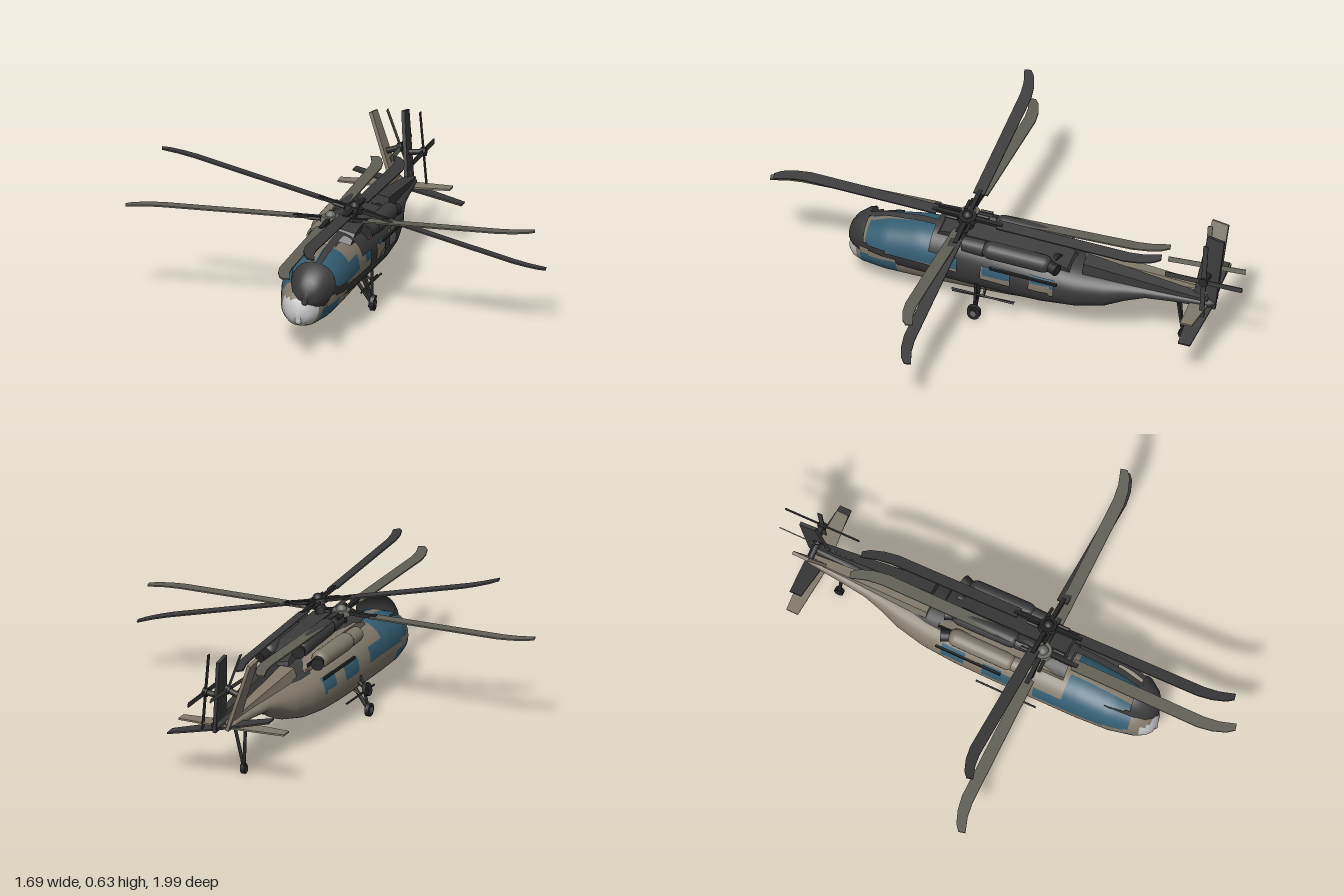
import * as THREE from 'three';

const mat = (name, color, side = THREE.FrontSide) => {
  const m = new THREE.MeshStandardMaterial({ color, side });
  m.name = name;
  return m;
};

// hull stations: z, half width, bottom, top
const STATIONS = [
  [0.668, 0.002, 0.14, 0.143], [0.66, 0.038, 0.11, 0.185], [0.64, 0.062, 0.09, 0.22],
  [0.6, 0.085, 0.078, 0.254], [0.5, 0.111, 0.07, 0.292], [0.36, 0.121, 0.068, 0.314],
  [0.2, 0.122, 0.068, 0.314], [0, 0.122, 0.07, 0.3], [-0.16, 0.121, 0.08, 0.285],
  [-0.3, 0.113, 0.1, 0.276], [-0.42, 0.092, 0.132, 0.272], [-0.5, 0.068, 0.176, 0.27],
  [-0.58, 0.05, 0.212, 0.268], [-0.7, 0.036, 0.222, 0.266], [-0.84, 0.022, 0.228, 0.262],
  [-0.86, 0.002, 0.242, 0.246],
];

// window openings: z from, z to, y from, y to
const WINDOWS = [
  [0.3, 0.58, 0.19, 0.4], [0.18, 0.3, 0.19, 0.25], [-0.04, 0.08, 0.19, 0.25],
  [-0.22, -0.12, 0.19, 0.25], [0.44, 0.6, 0.1, 0.155],
];

function station(z) {
  let i = 0;
  while (i < STATIONS.length - 2 && STATIONS[i + 1][0] > z) i++;
  const a = STATIONS[i], b = STATIONS[i + 1];
  const t = (a[0] - z) / (a[0] - b[0]);
  return a.map((v, k) => v + (b[k] - v) * t);
}

// lofted body; cells sorted into skin, glass and nose
function hullGeometry(open) {
  const zs = [0.668, 0.665, 0.66, 0.65];
  for (let k = 64; k >= -84; k -= 2) zs.push(k / 100);
  zs.push(-0.86);
  const N = 64, pos = [], faces = [[], [], []];
  const pw = (v) => Math.sign(v) * Math.abs(v) ** 0.9;
  for (const z of zs) {
    const [, w, b, t] = station(z);
    for (let j = 0; j < N; j++) {
      const a = (j / N) * Math.PI * 2;
      pos.push(w * pw(Math.cos(a)), (b + t) / 2 + ((t - b) / 2) * pw(Math.sin(a)), z);
    }
  }
  for (let i = 0; i < zs.length - 1; i++) {
    for (let j = 0; j < N; j++) {
      const k = (j + 1) % N;
      const q = [i * N + j, (i + 1) * N + j, (i + 1) * N + k, i * N + k];
      const mid = (c) => q.reduce((s, v) => s + pos[v * 3 + c], 0) / 4;
      const x = mid(0), y = mid(1), z = mid(2);
      const glass = Math.abs(x) > 0.008 &&
        WINDOWS.some(([z0, z1, y0, y1]) => z > z0 && z < z1 && y > y0 && y < y1);
      const kind = glass ? 1 : z > 0.62 && y < 0.2 ? 2 : 0;
      if (glass && open) continue;
      faces[kind].push(q[0], q[1], q[3], q[1], q[2], q[3]);
    }
  }
  const g = new THREE.BufferGeometry();
  g.setAttribute('position', new THREE.Float32BufferAttribute(pos, 3));
  g.setIndex(faces.flat());
  let start = 0;
  faces.forEach((f, n) => { g.addGroup(start, f.length, n); start += f.length; });
  g.computeVertexNormals();
  return g;
}

function extrude(points, depth) {
  const s = new THREE.Shape(points.map(([x, y]) => new THREE.Vector2(x, y)));
  return new THREE.ExtrudeGeometry(s, { depth, bevelEnabled: false }).translate(0, 0, -depth / 2);
}

function helicopter(name, c, open) {
  const g = new THREE.Group();
  g.name = name;
  const add = (part, geo, m, x = 0, y = 0, z = 0, parent = g) => {
    const mesh = new THREE.Mesh(geo, m);
    mesh.name = part;
    mesh.position.set(x, y, z);
    parent.add(mesh);
    return mesh;
  };
  const rod = (part, a, b, r, m) => {
    const curve = new THREE.LineCurve3(new THREE.Vector3(...a), new THREE.Vector3(...b));
    return add(part, new THREE.TubeGeometry(curve, 1, r, 8), m);
  };

  add('hull', hullGeometry(open), [c.skin, c.glass, c.nose]);
  add('noseSensor', new THREE.CapsuleGeometry(0.014, 0.025, 4, 12), c.nose, 0, 0.125, 0.655);

  // engine deck with sloped ends
  add('engineDeck', extrude([[0.3, 0.28], [0.27, 0.322], [0.2, 0.338], [-0.12, 0.338], [-0.26, 0.29], [-0.28, 0.25]], 0.1)
    .rotateY(-Math.PI / 2), c.skin);

  // tail spine, narrowing rearward
  const spine = new THREE.BoxGeometry(1, 1, 1);
  const p = spine.attributes.position;
  for (let i = 0; i < p.count; i++) {
    const front = p.getZ(i) > 0, top = p.getY(i) > 0;
    p.setXYZ(i, p.getX(i) * (front ? (top ? 0.06 : 0.1) : 0.03),
      top ? (front ? 0.317 : 0.27) : 0.24, front ? -0.32 : -0.83);
  }
  spine.computeVertexNormals();
  add('tailSpine', spine, c.skin);

  for (const s of [-1, 1]) {
    // engine nacelle with intake and exhaust
    add('engine', new THREE.CapsuleGeometry(0.036, 0.22, 6, 20).rotateX(Math.PI / 2), c.skin, s * 0.072, 0.312, -0.06);
    add('intake', new THREE.CylinderGeometry(0.03, 0.033, 0.09, 20).rotateX(Math.PI / 2), c.skin, s * 0.068, 0.308, 0.12);
    add('intakeFace', new THREE.CylinderGeometry(0.024, 0.024, 0.006, 20).rotateX(Math.PI / 2), c.dark, s * 0.068, 0.308, 0.165);
    const ex = add('exhaust', new THREE.CylinderGeometry(0.025, 0.022, 0.06, 16).rotateX(-Math.PI / 2), c.dark, s * 0.078, 0.31, -0.205);
    ex.rotation.y = -s * 0.35;

    // main landing gear
    rod('gearStrut', [s * 0.085, 0.12, 0.1], [s * 0.148, 0.03, 0.1], 0.008, c.dark);
    rod('gearBrace', [s * 0.12, 0.15, 0.1], [s * 0.145, 0.055, 0.1], 0.006, c.dark);
    const wheel = new THREE.CylinderGeometry(0.027, 0.027, 0.016, 20).rotateZ(Math.PI / 2);
    add('mainWheel', wheel, c.dark, s * 0.154, 0.027, 0.1);
    add('wheelHub', new THREE.CylinderGeometry(0.012, 0.012, 0.02, 14).rotateZ(Math.PI / 2), c.hub, s * 0.154, 0.027, 0.1);

    // side rails
    rod('lowerRail', [s * 0.128, 0.095, 0.2], [s * 0.128, 0.095, -0.06], 0.004, c.dark);
    rod('railMount', [s * 0.1, 0.11, 0.07], [s * 0.128, 0.095, 0.07], 0.004, c.dark);
    add('doorRail', new THREE.BoxGeometry(0.008, 0.012, 0.28), c.dark, s * 0.119, 0.258, -0.1);
  }

  // tail wheel
  rod('tailStrut', [0, 0.23, -0.7], [0, 0.02, -0.715], 0.007, c.dark);
  add('tailWheel', new THREE.CylinderGeometry(0.019, 0.019, 0.016, 18).rotateZ(Math.PI / 2), c.dark, 0, 0.019, -0.715);

  // canted fin and stabilizer
  const tail = new THREE.Group();
  tail.name = 'tailFin';
  tail.position.set(0, 0.24, 0);
  tail.rotation.z = 0.34;
  g.add(tail);
  add('fin', extrude([[-0.76, -0.02], [-0.86, -0.02], [-0.872, 0.285], [-0.803, 0.295]], 0.014)
    .rotateY(-Math.PI / 2), c.skin, 0, 0, 0, tail);
  add('stabilizer', extrude([[-0.228, -0.785], [-0.228, -0.835], [0, -0.85], [0.228, -0.835], [0.228, -0.785], [0, -0.765]], 0.007)
    .rotateX(Math.PI / 2), c.skin, 0, 0.23, 0);

  // tail rotor
  const tr = new THREE.Group();
  tr.name = 'tailRotor';
  tr.position.set(0.065, 0.125, -0.822);
  tail.add(tr);
  add('tailRotorShaft', new THREE.CylinderGeometry(0.012, 0.012, 0.07, 12).rotateZ(Math.PI / 2), c.dark, -0.03, 0, 0, tr);
  add('tailRotorHub', new THREE.CylinderGeometry(0.018, 0.018, 0.02, 14).rotateZ(Math.PI / 2), c.dark, 0, 0, 0, tr);
  for (let i = 0; i < 4; i++) {
    const b = add('tailBlade', new THREE.BoxGeometry(0.004, 0.15, 0.02).translate(0, 0.085, 0), c.blade, 0, 0, 0, tr);
    b.rotation.x = (i * Math.PI) / 2 + 0.03;
  }

  // main rotor with swept tips
  add('mast', new THREE.CylinderGeometry(0.018, 0.028, 0.08, 16), c.dark, 0, 0.35, 0.17);
  const rotor = new THREE.Group();
  rotor.name = 'mainRotor';
  rotor.position.set(0, 0.388, 0.17);
  g.add(rotor);
  add('rotorHub', new THREE.CylinderGeometry(0.036, 0.042, 0.02, 24), c.hub, 0, 0, 0, rotor);
  add('rotorCap', new THREE.SphereGeometry(0.022, 16, 8), c.hub, 0, 0.008, 0, rotor);
  const outline = [[-0.024, 0.13], [0.024, 0.13], [0.026, 0.69], [0.034, 0.75], [0.055, 0.815],
    [0.028, 0.822], [0.006, 0.795], [-0.014, 0.74], [-0.024, 0.68]];
  for (let i = 0; i < 4; i++) {
    const arm = new THREE.Group();
    arm.name = 'rotorArm';
    arm.rotation.y = (i * Math.PI) / 2;
    rotor.add(arm);
    add('bladeGrip', new THREE.BoxGeometry(0.018, 0.014, 0.13), c.dark, 0, 0, 0.085, arm);
    add('damper', new THREE.CylinderGeometry(0.007, 0.007, 0.05, 10).rotateX(Math.PI / 2), c.dark, 0.022, 0, 0.06, arm);
    add('mainBlade', extrude(outline, 0.006).rotateX(Math.PI / 2), c.blade, 0, 0, 0, arm);
  }
  return g;
}

export function createModel() {
  const group = new THREE.Group();
  group.name = 'helicopterPair';
  const tan = mat('tan paint', 0x82796a);
  const glass = mat('blue glass', 0x335d72);
  const nose = mat('pale nose', 0xc4c4c4);
  const olive = mat('olive blade', 0x5f5f54);
  const black = mat('black metal', 0x262626);
  const hub = mat('grey hub', 0x6a6a66);
  const char = mat('charred skin', 0x3b3b3b, THREE.DoubleSide);

  // intact machine
  const intact = helicopter('intactHelicopter',
    { skin: tan, glass, nose, blade: olive, dark: black, hub }, false);
  intact.position.x = -0.02;
  group.add(intact);

  // burnt shell with open windows, rolled and pitched over it
  const burnt = helicopter('burntHelicopter',
    { skin: char, glass: char, nose: char, blade: char, dark: black, hub: black }, true);
  burnt.getObjectByName('mainRotor').scale.set(0.97, 1, 0.97);
  burnt.rotation.set(-0.054, 0, -0.245);
  burnt.position.set(-0.024, 0.043, 0);
  group.add(burnt);
  return group;
}
